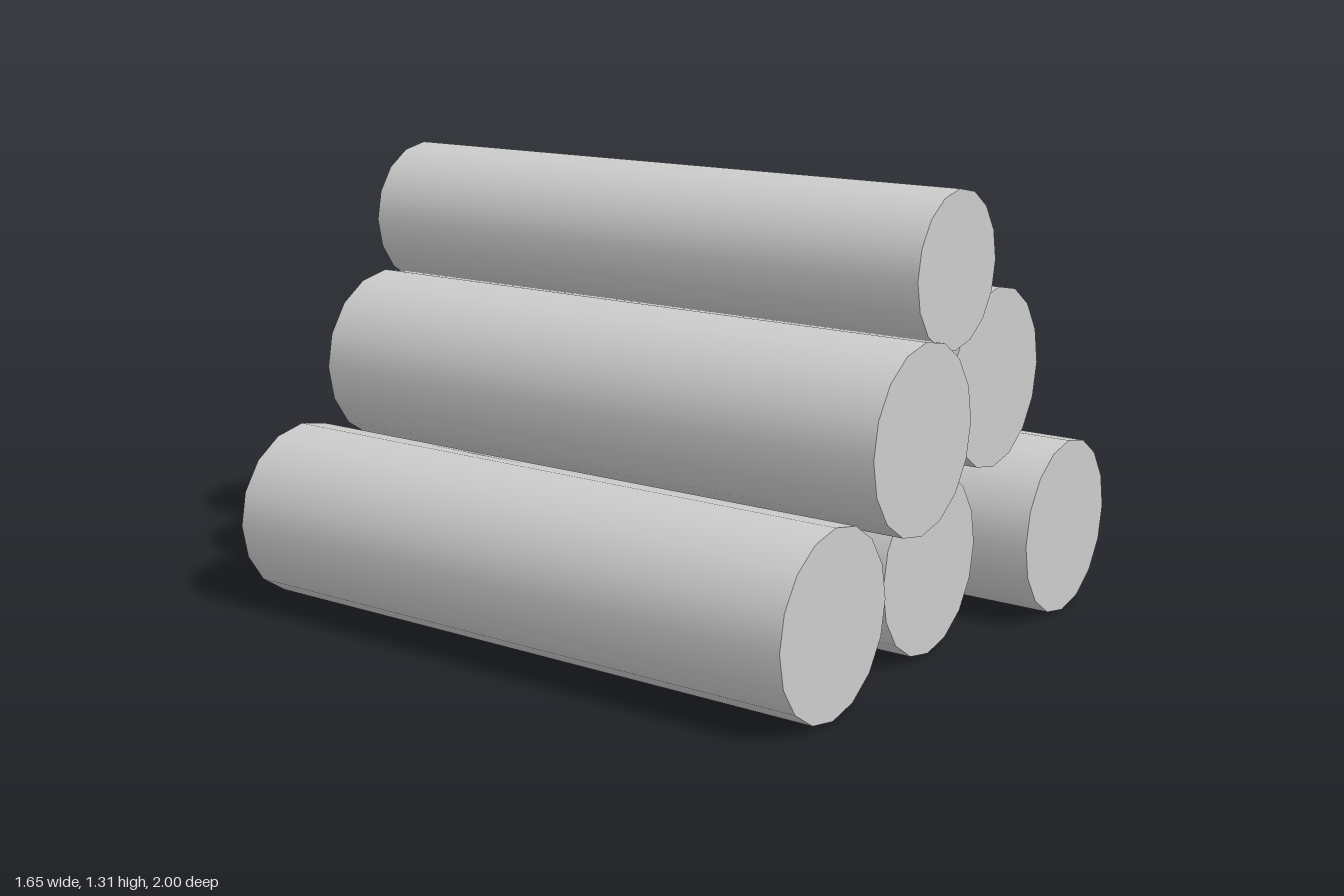
import * as THREE from 'three';

const LENGTH = 1.857;

// name, centre x, centre y, radius, z of the front end
const LOGS = [
  ['bottomRightLog', -0.57, 0.257, 0.257, 0.901],
  ['bottomMiddleLog', 0.01, 0.257, 0.257, 0.857],
  ['bottomLeftLog', 0.566, 0.257, 0.257, 1.0],
  ['middleRightLog', -0.273, 0.688, 0.257, 0.981],
  ['middleLeftLog', 0.281, 0.74, 0.257, 0.902],
  ['topLog', -0.042, 1.093, 0.215, 0.942],
];

export function createModel() {
  const group = new THREE.Group();
  group.name = 'logPile';
  const material = new THREE.MeshStandardMaterial({ color: 0xcccccc });

  // Stacked logs lying along z, each slid a little forward or back
  for (const [name, x, y, radius, front] of LOGS) {
    const geometry = new THREE.CylinderGeometry(radius, radius, LENGTH, 16);
    geometry.rotateX(Math.PI / 2);
    const log = new THREE.Mesh(geometry, material);
    log.name = name;
    log.position.set(x, y, front - LENGTH / 2);
    group.add(log);
  }
  return group;
}
